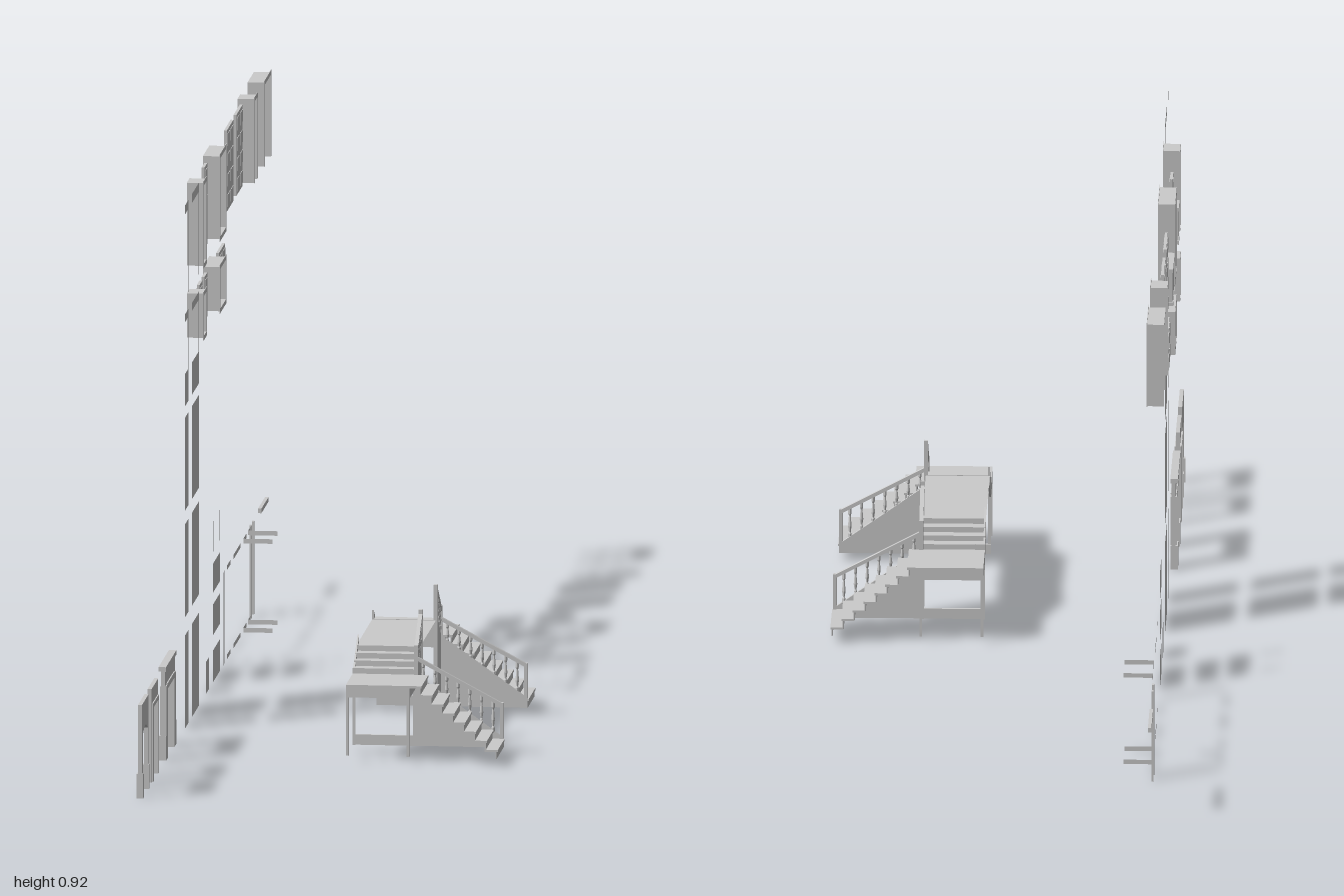
import * as THREE from 'three';

const mat = new THREE.MeshStandardMaterial({ color: 0xcccccc, flatShading: true, side: THREE.DoubleSide });
const WALL = -0.276; // x of the wall plane

function add(parent, name, geo) {
  const m = new THREE.Mesh(geo, mat);
  m.name = name;
  parent.add(m);
  return m;
}

// Box given by its limits
function block(parent, name, x0, x1, y0, y1, z0, z1) {
  const m = add(parent, name, new THREE.BoxGeometry(x1 - x0, y1 - y0, z1 - z0));
  m.position.set((x0 + x1) / 2, (y0 + y1) / 2, (z0 + z1) / 2);
}

// Thin sheet in the wall plane
function sheet(parent, name, z0, z1, y0, y1) {
  const m = add(parent, name, new THREE.PlaneGeometry(z1 - z0, y1 - y0).rotateY(Math.PI / 2));
  m.position.set(WALL, (y0 + y1) / 2, (z0 + z1) / 2);
}

const poly = (pts) => new THREE.Shape(pts.map(([a, b]) => new THREE.Vector2(a, b)));
const rect = (a0, a1, b0, b1) => [[a0, b0], [a1, b0], [a1, b1], [a0, b1]];

// Shape drawn in (z, y), extruded from xFront towards -x; flat if depth is 0
function cutout(parent, name, shape, hole, xFront, depth) {
  if (hole) shape.holes.push(poly(hole));
  const g = depth
    ? new THREE.ExtrudeGeometry(shape, { depth, bevelEnabled: false, curveSegments: 10 })
    : new THREE.ShapeGeometry(shape);
  add(parent, name, g.rotateY(-Math.PI / 2)).position.x = xFront;
}

// Outline open at the bottom, like a doorway
const doorway = (z0, z1, y0, y1, side, top) => poly([
  [z0, y0], [z0 + side, y0], [z0 + side, y1 - top], [z1 - side, y1 - top],
  [z1 - side, y0], [z1, y0], [z1, y1], [z0, y1]]);

// Deep surround with a thin lip on the wall side
function surround(parent, name, z0, z1, y0, y1, open) {
  for (const [m, x, d] of [[0.004, WALL, 0.029], [0, WALL + 0.001, 0.001]]) {
    const a = z0 + m, b = z1 - m, t = 0.008 - m;
    if (open) cutout(parent, name, doorway(a, b, y0, y1 - m, t, t), null, x, d);
    else cutout(parent, name, poly(rect(a, b, y0 + m, y1 - m)), rect(z0 + 0.008, z1 - 0.008, y0 + 0.008, y1 - 0.008), x, d);
  }
}

// Slab with raised panels on both sides
function panelled(parent, name, z0, z1, y0, y1, cols, rows) {
  const g = new THREE.Group();
  g.name = name;
  parent.add(g);
  block(g, 'slab', -0.2965, -0.2915, y0, y1, z0, z1);
  const w = (z1 - z0) / cols, h = (y1 - y0) / rows, b = 0.007;
  for (let i = 0; i < cols; i++) for (let j = 0; j < rows; j++)
    block(g, 'raisedPanel', -0.2975, -0.2905, y0 + j * h + b, y0 + (j + 1) * h - b, z0 + i * w + b, z0 + (i + 1) * w - b);
}

// Turned baluster
function baluster(parent, x, y, z, h) {
  const pts = [[0.003, 0], [0.003, 0.15], [0.0016, 0.2], [0.0032, 0.4], [0.0016, 0.75], [0.003, 0.82], [0.003, 1]];
  add(parent, 'baluster', new THREE.LatheGeometry(pts.map(([r, t]) => new THREE.Vector2(r, t * h)), 8)).position.set(x, y, z);
}

// Half of the staircase: lower flight, landing and short upper flight
function halfStair() {
  const g = new THREE.Group();
  g.name = 'stairHalf';
  const X0 = 0.037, X1 = 0.148, X2 = 0.3, Z0 = 0.523, Z1 = 0.63, ZT = 0.45, B = 0.013, L = 0.138, T = 0.178;
  // Lower flight
  const n = 8, rise = (L - B) / n, run = (X2 - X1) / n;
  for (let i = 0; i < n; i++) {
    const x = X2 - i * run, y = B + i * rise;
    block(g, 'riser', x - 0.002, x, y, y + rise, Z0, Z1);
    block(g, 'tread', x - run - 0.002, x + 0.002, y + rise - 0.004, y + rise, Z0, Z1);
  }
  // Side panel, raised stringer and handrail on the inner side
  const side = (name, pts, z, depth) => {
    add(g, name, new THREE.ExtrudeGeometry(poly(pts), { depth, bevelEnabled: false })).position.z = z;
  };
  side('sidePanel', [[X1, B], [X2, B], [X2, 0.025], [X1, 0.132]], Z0 - 0.002, 0.003);
  side('stringer', [[X1, 0.108], [X2 - 0.012, B], [X2, B], [X2, 0.03], [X1, 0.138]], Z0 - 0.004, 0.006);
  side('handrail', [[X1, 0.164], [X2, 0.083], [X2, 0.09], [X1, 0.171]], Z0 - 0.004, 0.007);
  block(g, 'newel', X2 - 0.006, X2, B, 0.092, Z0 - 0.004, Z0 + 0.003);
  for (let i = 0; i < 7; i++) {
    const t = (i + 0.6) / 7.5;
    baluster(g, X1 + (X2 - X1) * t, 0.134 - 0.107 * t, Z0, 0.031 + 0.026 * t);
  }
  // Landing on posts
  block(g, 'landing', X0, X1, 0.116, L, Z0, Z1);
  for (const x of [X0, X1 - 0.005]) for (const z of [Z0, Z1 - 0.005])
    block(g, 'leg', x, x + 0.005, B, 0.116, z, z + 0.005);
  block(g, 'footBeam', X0, X1, B, 0.031, Z0 - 0.003, Z0 + 0.002);
  // Upper flight
  const m = 4, r2 = (T - L) / m, d2 = (Z0 - ZT) / m;
  for (let i = 0; i < m; i++) {
    const z = Z0 - i * d2, y = L + i * r2;
    block(g, 'upperRiser', X0, X1, y, y + r2, z - 0.002, z);
    block(g, 'upperTread', X0, X1, y + r2 - 0.003, y + r2, z - d2, z + 0.002);
  }
  cutout(g, 'upperSidePanel', poly([[ZT, B], [Z0, B], [Z0, 0.14], [ZT, 0.193]]), null, X1 + 0.001, 0.003);
  cutout(g, 'upperStringer', poly([[ZT, 0.16], [Z0, 0.116], [Z0, 0.143], [ZT, 0.193]]), null, X0 + 0.003, 0.003);
  cutout(g, 'upperHandrail', poly([[ZT, 0.23], [Z0, 0.178], [Z0, 0.185], [ZT, 0.237]]), null, X1 + 0.003, 0.007);
  block(g, 'lowerNewel', X1 - 0.004, X1 + 0.003, B, 0.19, Z0 - 0.004, Z0 + 0.003);
  block(g, 'upperNewel', X1 - 0.004, X1 + 0.003, B, 0.24, ZT, ZT + 0.006);
  for (let i = 1; i < 5; i++) {
    const t = i / 5;
    baluster(g, X1, 0.14 + 0.053 * t, Z0 + (ZT - Z0) * t, 0.04);
  }
  return g;
}

export function createModel() {
  const root = new THREE.Group();
  root.name = 'stairAndWallKit';

  // Staircase: two mirrored halves joined by a thin platform
  const stair = new THREE.Group();
  stair.name = 'staircase';
  root.add(stair);
  const far = halfStair();
  far.scale.z = -1;
  far.position.z = 0.67;
  stair.add(halfStair(), far);
  const deck = add(stair, 'upperPlatform', new THREE.PlaneGeometry(0.111, 0.232).rotateX(-Math.PI / 2));
  deck.position.set(0.0925, 0.177, 0.335);

  // Wall sheets in two widths: plain, with window, with doorway
  for (const [z0, z1] of [[0.284, 0.34], [0.123, 0.233]]) {
    for (const y of [0, 0.196, 0.384]) sheet(root, 'plainWall', z0, z1, y, y + 0.164);
    cutout(root, 'windowWall', poly(rect(z0, z1, 0.568, 0.73)), rect(z0 + 0.005, z1 - 0.005, 0.625, 0.716), WALL, 0);
    cutout(root, 'doorWall', doorway(z0, z1, 0.76, 0.922, 0.005, 0.016), null, WALL, 0);
  }

  // Low wall sheets, short posts and thin trims
  sheet(root, 'lowWallNarrow', -0.038, 0.013, 0, 0.056);
  for (const [a, b] of [[0, 0.056], [0.083, 0.137], [0.158, 0.209]]) sheet(root, 'lowWall', -0.206, -0.094, a, b);
  for (const z of [-0.103, -0.2]) sheet(root, 'shortPost', z - 0.004, z + 0.004, 0.23, 0.284);
  for (const z of [-0.257, -0.276]) sheet(root, 'cornerStrip', z - 0.003, z + 0.003, 0, 0.164);
  for (const z of [-0.705, -0.743]) block(root, 'post', WALL - 0.004, WALL, 0, 0.164, z - 0.004, z + 0.004);
  for (const y of [0, 0.157]) {
    for (const [a, b] of [[-0.373, -0.314], [-0.523, -0.42], [-0.62, -0.57], [-0.684, -0.646]])
      sheet(root, 'trim', a, b, y, y + 0.008);
    // Return of the corner trims
    for (const z of [-0.57, -0.646])
      add(root, 'trimReturn', new THREE.PlaneGeometry(0.051, 0.008)).position.set(WALL + 0.0255, y + 0.004, z);
  }
  block(root, 'beam', WALL - 0.006, WALL, 0.157, 0.165, -0.962, -0.853);

  // Archway with a shallow curved head
  const arch = new THREE.Shape();
  arch.moveTo(0.898, 0);
  arch.lineTo(0.91, 0);
  arch.lineTo(0.91, 0.108);
  arch.quadraticCurveTo(0.949, 0.132, 0.988, 0.108);
  for (const [z, y] of [[0.988, 0], [1, 0], [1, 0.165], [0.898, 0.165]]) arch.lineTo(z, y);
  cutout(root, 'curvedArchway', arch, null, -0.277, 0.007);
  for (const z of [0.898, 0.987]) block(root, 'archFoot', -0.287, -0.275, 0, 0.043, z, z + 0.013);

  // Square archway with an inner moulding
  cutout(root, 'squareArchway', doorway(0.748, 0.85, 0, 0.165, 0.013, 0.03), null, -0.277, 0.007);
  cutout(root, 'archMoulding', doorway(0.755, 0.843, 0, 0.138, 0.008, 0.008), null, -0.275, 0.012);

  // Wide archway with pilasters and cornice
  cutout(root, 'wideArchway', doorway(0.482, 0.642, 0, 0.165, 0.03, 0.043), null, -0.277, 0.007);
  cutout(root, 'wideMoulding', doorway(0.503, 0.621, 0, 0.132, 0.009, 0.01), null, -0.275, 0.011);
  block(root, 'cornice', -0.288, -0.275, 0.157, 0.165, 0.48, 0.644);
  for (const z of [0.482, 0.615]) {
    block(root, 'pilaster', -0.286, -0.275, 0.043, 0.13, z + 0.004, z + 0.023);
    block(root, 'pilasterFoot', -0.288, -0.275, 0, 0.043, z, z + 0.027);
  }

  // Window and door surrounds
  for (const [a, b] of [[0.005, 0.056], [-0.303, -0.196]]) {
    surround(root, 'lowWindowSurround', a, b, 0.631, 0.717, false);
    surround(root, 'tallWindowSurround', a, b, 0.758, 0.912, false);
  }
  for (const [a, b] of [[-0.788, -0.737], [-1, -0.893]]) surround(root, 'doorSurround', a, b, 0.76, 0.912, true);

  // Shutters, doors and balcony boxes
  panelled(root, 'narrowLowShutter', -0.072, -0.028, 0.637, 0.713, 1, 2);
  panelled(root, 'lowShutter', -0.426, -0.33, 0.637, 0.713, 2, 2);
  panelled(root, 'halfShutter', -0.147, -0.105, 0.66, 0.713, 1, 1);
  cutout(root, 'halfShutterFrame', poly(rect(-0.147, -0.105, 0.635, 0.66)), rect(-0.143, -0.109, 0.639, 0.659), -0.2915, 0.005);
  panelled(root, 'narrowDoor', -0.147, -0.105, 0.763, 0.906, 1, 3);
  for (const z of [-0.555, -0.7]) panelled(root, 'door', z, z + 0.1, 0.763, 0.906, 2, 4);
  for (const [a, b] of [[-0.07, -0.024], [-0.426, -0.33]]) {
    block(root, 'balconyBox', -0.304, -0.291, 0.766, 0.826, a + 0.002, b - 0.002);
    block(root, 'balconyBase', -0.305, -0.29, 0.763, 0.77, a, b);
    block(root, 'balconyRail', -0.305, -0.29, 0.823, 0.83, a, b);
  }
  return root;
}
